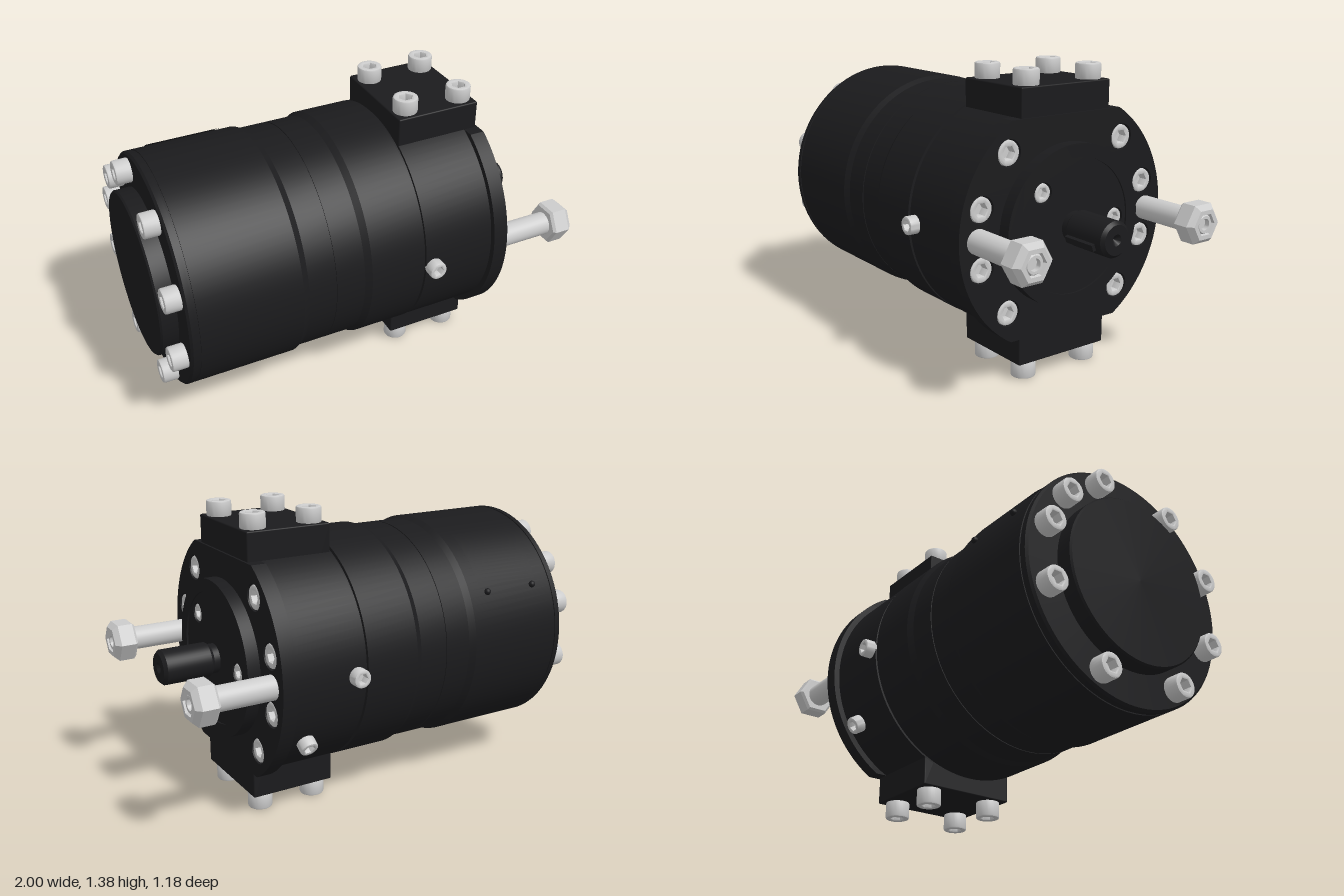
import * as THREE from 'three';
import { toCreasedNormals } from 'three/addons/utils/BufferGeometryUtils.js';
import { RoundedBoxGeometry } from 'three/addons/geometries/RoundedBoxGeometry.js';

const AXIS_Y = 0.695;
const dark = new THREE.MeshStandardMaterial({ color: 0x1b1b1d });
const grey = new THREE.MeshStandardMaterial({ color: 0xcccccc });
const X = new THREE.Vector3(1, 0, 0);
const Y = new THREE.Vector3(0, 1, 0);
const Z = new THREE.Vector3(0, 0, 1);

export function createModel() {
  const model = new THREE.Group();
  model.name = 'hydraulicMotor';

  const add = (name, geometry, material, x = 0, y = 0, z = 0) => {
    const mesh = new THREE.Mesh(geometry, material);
    mesh.name = name;
    mesh.position.set(x, y, z);
    model.add(mesh);
    return mesh;
  };

  // Solid of revolution about the x axis; profile is [x, radius] with x rising
  const turn = (profile, segments = 72) => {
    const points = profile.map(([x, r]) => new THREE.Vector2(r, x));
    const g = new THREE.LatheGeometry(points, segments).rotateZ(-Math.PI / 2);
    return toCreasedNormals(g, 0.4);
  };

  // Plate in the z-y plane, extruded along x; holes are [z, y, radius]
  const plate = (shape, holes, depth) => {
    for (const [z, y, r] of holes) {
      shape.holes.push(new THREE.Path().absarc(-z, y, r, 0, Math.PI * 2, true));
    }
    const g = new THREE.ExtrudeGeometry(shape, { depth, bevelEnabled: false, curveSegments: 36 });
    return toCreasedNormals(g.rotateY(Math.PI / 2), 0.4);
  };
  const disc = (r) => new THREE.Shape().absarc(0, 0, r, 0, Math.PI * 2, false);

  // Cap screw head with hexagon socket; base at the position, pointing along dir
  const screw = (name, r, height, dir, x, y, z) => {
    const bevel = Math.min(0.008, height / 4);
    const shape = disc(r);
    const hex = [];
    for (let i = 0; i < 6; i++) {
      const a = -i * Math.PI / 3;
      hex.push(new THREE.Vector2(Math.cos(a) * r * 0.55, Math.sin(a) * r * 0.55));
    }
    shape.holes.push(new THREE.Path(hex));
    const g = new THREE.ExtrudeGeometry(shape, {
      depth: height - 2 * bevel, bevelThickness: bevel, bevelSize: bevel,
      bevelOffset: -bevel, bevelSegments: 2, curveSegments: 16,
    }).translate(0, 0, bevel);
    const head = add(name, toCreasedNormals(g, 0.6), grey, x, y, z);
    head.quaternion.setFromUnitVectors(Z, dir);
    const floor = new THREE.Mesh(new THREE.CircleGeometry(r * 0.7, 16), grey);
    floor.name = 'socketFloor';
    floor.position.z = height * 0.4;
    head.add(floor);
  };

  // Main housing with waist and joint grooves
  add('housing', turn([
    [-0.92, 0], [-0.92, 0.535], [-0.91, 0.545], [-0.885, 0.545], [-0.885, 0.54],
    [-0.875, 0.54], [-0.875, 0.545], [-0.4, 0.545], [-0.37, 0.53], [-0.243, 0.53],
    [-0.243, 0.526], [-0.237, 0.526], [-0.237, 0.53], [-0.1, 0.53], [-0.07, 0.545],
    [0.19, 0.545], [0.19, 0.53], [0.205, 0.53], [0.205, 0.543], [0.55, 0.543], [0.55, 0],
  ], 96), dark, 0, AXIS_Y);

  // Rear end plate and its unevenly spaced screws
  add('endPlate', turn([[-1, 0], [-1, 0.378], [-0.992, 0.385], [-0.91, 0.385]]), dark, 0, AXIS_Y);
  for (const deg of [60, 20, -20, -60, -113, -163, 163, 138, 110]) {
    const a = THREE.MathUtils.degToRad(deg);
    screw('endScrew', 0.056, 0.075, X.clone().negate(),
      -0.918, AXIS_Y + 0.468 * Math.sin(a), 0.468 * Math.cos(a));
  }

  // Front flange with flat top and bottom and counterbored screws
  const flangeScrews = [];
  for (const sz of [-1, 1]) {
    for (const sy of [-1, 1]) {
      flangeScrews.push([sz * 0.315, sy * 0.35], [sz * 0.455, sy * 0.13]);
    }
  }
  const cut = Math.asin(0.485 / 0.57);
  const flange = new THREE.Shape()
    .absarc(0, 0, 0.57, -cut, cut, false)
    .absarc(0, 0, 0.57, Math.PI - cut, Math.PI + cut, false);
  add('frontFlange', plate(flange, flangeScrews.map(([z, y]) => [z, y, 0.06]), 0.07),
    dark, 0.55, AXIS_Y);
  for (const [z, y] of flangeScrews) {
    screw('flangeScrew', 0.055, 0.068, X, 0.55, AXIS_Y + y, z);
  }

  // Pilot boss: raised rim around a slightly recessed face with three screws
  const faceScrews = [[0.175, 0.17], [-0.24, 0], [0.225, -0.105]];
  add('pilotRim', plate(disc(0.365), [[0, 0, 0.305]], 0.06), dark, 0.62, AXIS_Y);
  add('pilotFace', plate(disc(0.305), faceScrews.map(([z, y]) => [z, y, 0.047]), 0.052),
    dark, 0.62, AXIS_Y);
  for (const [z, y] of faceScrews) {
    screw('pilotScrew', 0.042, 0.05, X, 0.62, AXIS_Y + y, z);
  }

  // Output shaft with centre hole and key
  add('shaft', turn([
    [0.66, 0.068], [0.7, 0.068], [0.715, 0.08], [0.925, 0.08], [0.94, 0.066],
    [0.94, 0.025], [0.915, 0],
  ], 40), dark, 0, AXIS_Y);
  const key = add('shaftKey', new THREE.BoxGeometry(0.17, 0.03, 0.05), dark, 0.805, AXIS_Y - 0.025, 0.065);
  key.rotation.x = 0.35;

  // Studs with hexagon nuts
  for (const z of [-0.475, 0.475]) {
    add('stud', turn([
      [0.6, 0.055], [0.9, 0.055], [0.9, 0.045], [0.985, 0.045], [0.993, 0.038],
      [0.993, 0.026], [0.97, 0.026], [0.97, 0],
    ], 32), grey, 0, AXIS_Y, z);
    const nut = new THREE.LatheGeometry([
      [0.893, 0.045], [0.893, 0.088], [0.905, 0.1], [0.975, 0.1], [1, 0.075], [1, 0.053], [0.98, 0.045],
    ].map(([x, r]) => new THREE.Vector2(r, x)), 6).rotateZ(-Math.PI / 2);
    add('nut', toCreasedNormals(nut, 0.1), grey, 0, AXIS_Y, z);
  }

  // Port block through the housing, with screws above and below
  add('portBlock', new RoundedBoxGeometry(0.405, 1.23, 0.49, 2, 0.006), dark, 0.4075, AXIS_Y, 0);
  for (const x of [0.272, 0.546]) {
    for (const z of [-0.173, 0.173]) {
      screw('topScrew', 0.057, 0.075, Y, x, 1.306, z);
      screw('bottomScrew', 0.057, 0.084, Y.clone().negate(), x, 0.084, z);
    }
  }

  // Radial plugs on both sides and one lower at the back
  for (const [x, deg] of [[0.245, 0], [0.245, 180], [0.46, 212]]) {
    const a = THREE.MathUtils.degToRad(deg);
    const dir = new THREE.Vector3(0, Math.sin(a), Math.cos(a));
    screw('plug', 0.042, 0.06, dir, x, AXIS_Y + dir.y * 0.53, dir.z * 0.53);
  }

  // Curved name plate on the back with two rivets
  const label = new THREE.CylinderGeometry(0.55, 0.55, 0.34, 16, 1, true, 0, 0.55).rotateZ(-Math.PI / 2);
  const labelMat = dark.clone();
  labelMat.side = THREE.DoubleSide;
  const tag = add('namePlate', label, labelMat, -0.63, AXIS_Y, 0);
  tag.rotation.x = Math.PI + 0.55;
  for (const x of [-0.77, -0.5]) {
    add('rivet', new THREE.SphereGeometry(0.016, 12, 8), dark, x, AXIS_Y + 0.26, -0.485);
  }

  return model;
}
